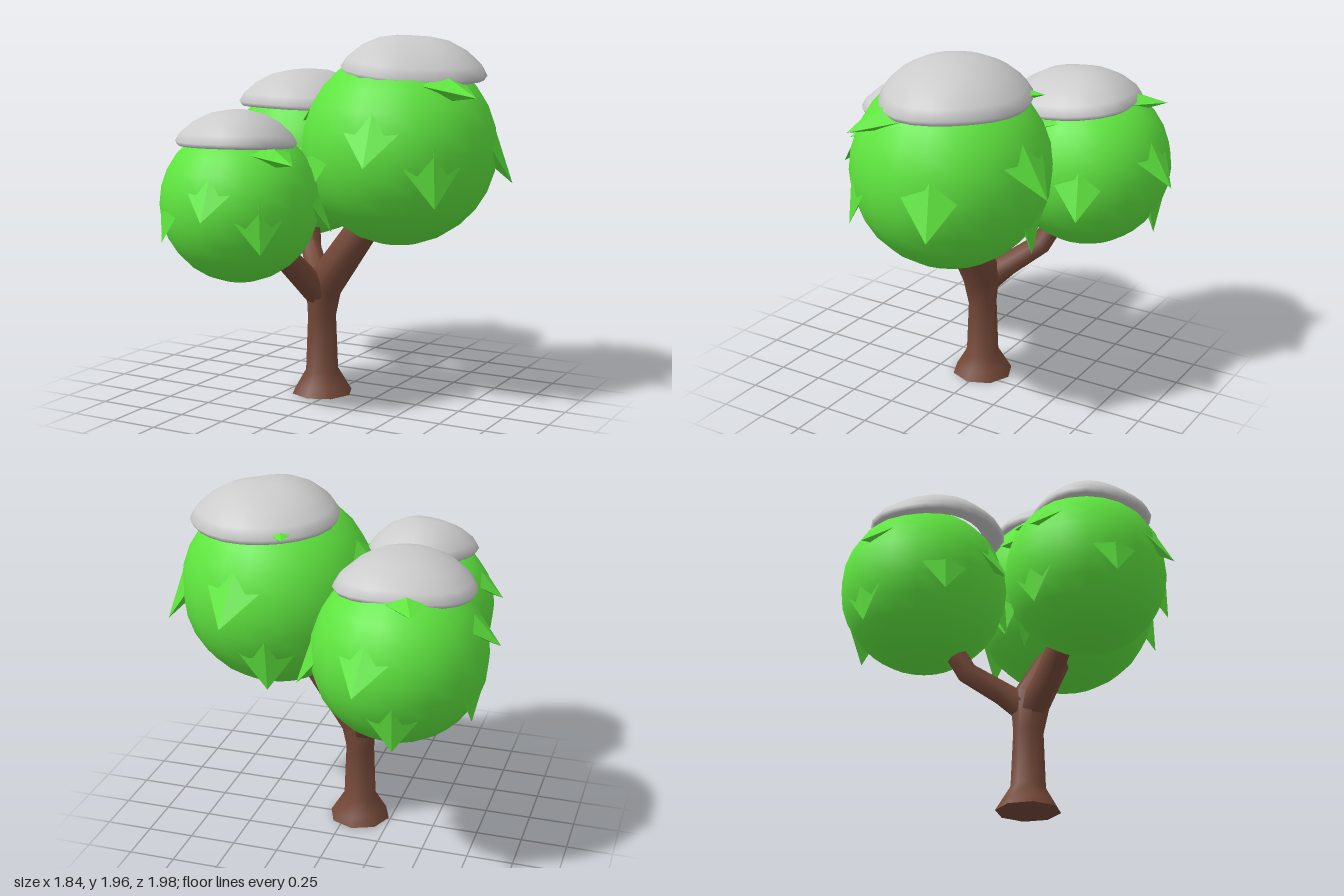
import * as THREE from 'three';
import { mergeVertices, toCreasedNormals } from 'three/addons/utils/BufferGeometryUtils.js';

const V = (x, y, z) => new THREE.Vector3(x, y, z);
const UP = V(0, 1, 0);

const bark = new THREE.MeshStandardMaterial({ color: 0x744838 });
const leaf = new THREE.MeshStandardMaterial({ color: 0x5fe63f });
const leafFlat = new THREE.MeshStandardMaterial({ color: 0x5fe63f, flatShading: true, side: THREE.DoubleSide });
const snow = new THREE.MeshStandardMaterial({ color: 0xcccccc });

function addMesh(parent, name, geometry, material) {
  const mesh = new THREE.Mesh(geometry, material);
  mesh.name = name;
  parent.add(mesh);
  return mesh;
}

// Eight-sided limb through rings given as [x, y, z, radius]
function limbGeometry(rings) {
  const n = rings.length - 1;
  const geo = new THREE.CylinderGeometry(1, 1, 1, 8, n);
  const centers = rings.map(([x, y, z]) => V(x, y, z));
  const turns = centers.map((c, i) => {
    const along = centers[Math.min(i + 1, n)].clone().sub(centers[Math.max(i - 1, 0)]).normalize();
    return new THREE.Quaternion().setFromUnitVectors(UP, along);
  });
  const pos = geo.attributes.position;
  for (let k = 0; k < pos.count; k++) {
    const i = Math.round((pos.getY(k) + 0.5) * n);
    const p = V(pos.getX(k), 0, pos.getZ(k)).multiplyScalar(rings[i][3]);
    p.applyQuaternion(turns[i]).add(centers[i]);
    pos.setXYZ(k, p.x, p.y, p.z);
  }
  return toCreasedNormals(geo, 0.9);
}

// Drooping leaf tip: wide root on the unit ball, point standing off it
function leafTipGeometry(tip) {
  const dir = tip.clone().normalize();
  const side = UP.clone().cross(dir).normalize();
  const onBall = (rise, sway) => dir.clone()
    .applyAxisAngle(side, -rise)
    .addScaledVector(side, sway).normalize().multiplyScalar(0.985);
  const top = onBall(0.55, 0);
  const left = onBall(0.33, -0.31);
  const right = onBall(0.33, 0.31);
  const notch = onBall(0.1, -0.03);
  const faces = [top, left, tip, top, tip, right, left, notch, tip, notch, right, tip];
  const geo = new THREE.BufferGeometry().setFromPoints(faces);
  geo.computeVertexNormals();
  return geo;
}

// Lumpy snow cap with a rounded rim, on a unit ball
function snowGeometry(phase) {
  const profile = [[0.5, 0.76], [0.66, 0.7], [0.73, 0.71], [0.76, 0.76], [0.7, 0.86],
    [0.55, 0.99], [0.36, 1.085], [0.18, 1.12], [0, 1.13]];
  const geo = new THREE.LatheGeometry(profile.map(([r, y]) => new THREE.Vector2(r, y)), 24);
  const pos = geo.attributes.position;
  for (let k = 0; k < pos.count; k++) {
    const x = pos.getX(k), z = pos.getZ(k), a = Math.atan2(z, x);
    const s = 1 + 0.03 * Math.cos(3 * a + phase) + 0.025 * Math.cos(4 * a - phase);
    const lift = 0.03 * Math.hypot(x, z) * Math.cos(2 * a + phase);
    pos.setXYZ(k, x * s, pos.getY(k) + lift, z * s);
  }
  geo.deleteAttribute('uv');
  geo.deleteAttribute('normal');
  const merged = mergeVertices(geo, 1e-4);
  merged.computeVertexNormals();
  return merged;
}

const leafTips = [
  [1.04, 0.56, 0.48], [1.08, -0.35, -0.4], [0.18, -0.09, 1.16], [0.2, -0.06, -1.18],
  [-0.33, 0.78, -0.85], [-1.13, 0.22, 0], [-0.6, -0.43, 0.85], [0.73, -0.5, 0.72],
  [-0.15, -0.8, -0.83], [-0.87, -0.66, -0.15],
];

const crowns = [
  { name: 'largeCrown', at: [0.36, 1.375, -0.06], r: 0.52, cap: [0.02, 0, -0.05], tilt: [0, -0.06], width: 1 },
  { name: 'backCrown', at: [-0.41, 1.245, -0.45], r: 0.45, cap: [0, 0, 0.06], tilt: [0.06, 0], width: 1.06 },
  { name: 'frontCrown', at: [-0.27, 1.11, 0.52], r: 0.415, cap: [0, 0.012, 0.03], tilt: [0, -0.03], width: 0.97 },
];

export function createModel() {
  const tree = new THREE.Group();
  tree.name = 'tree';

  // Trunk with flared foot, running on into the main branch
  addMesh(tree, 'trunk', limbGeometry([
    [-0.07, 0, 0.01, 0.17], [-0.07, 0.05, 0.01, 0.14], [-0.07, 0.13, 0.01, 0.092],
    [-0.07, 0.43, 0.01, 0.08], [-0.06, 0.6, 0.01, 0.108],
    [0.16, 0.91, 0, 0.092], [0.3, 1.12, -0.03, 0.085],
  ]), bark);
  addMesh(tree, 'frontBranch', limbGeometry([
    [-0.07, 0.54, 0.02, 0.075], [-0.11, 0.67, 0.15, 0.07], [-0.2, 0.9, 0.36, 0.06],
  ]), bark);
  addMesh(tree, 'backBranch', limbGeometry([
    [-0.07, 0.56, 0, 0.08], [-0.16, 0.65, -0.1, 0.065],
    [-0.28, 0.76, -0.24, 0.06], [-0.34, 0.95, -0.33, 0.06],
  ]), bark);

  // Leafy crowns, each with leaf tips and a snow cap
  crowns.forEach(({ name, at, r, cap, tilt, width }, i) => {
    const crown = new THREE.Group();
    crown.name = name;
    crown.position.set(...at);
    crown.scale.setScalar(r);
    addMesh(crown, 'foliage', new THREE.SphereGeometry(1, 20, 14), leaf);
    for (const t of leafTips) addMesh(crown, 'leafTip', leafTipGeometry(V(...t)), leafFlat);
    const top = addMesh(crown, 'snowCap', snowGeometry(1 + i * 1.7), snow);
    top.position.set(...cap).divideScalar(r);
    top.rotation.set(tilt[0], 0, tilt[1]);
    top.scale.set(width, 1, width);
    tree.add(crown);
  });

  return tree;
}
